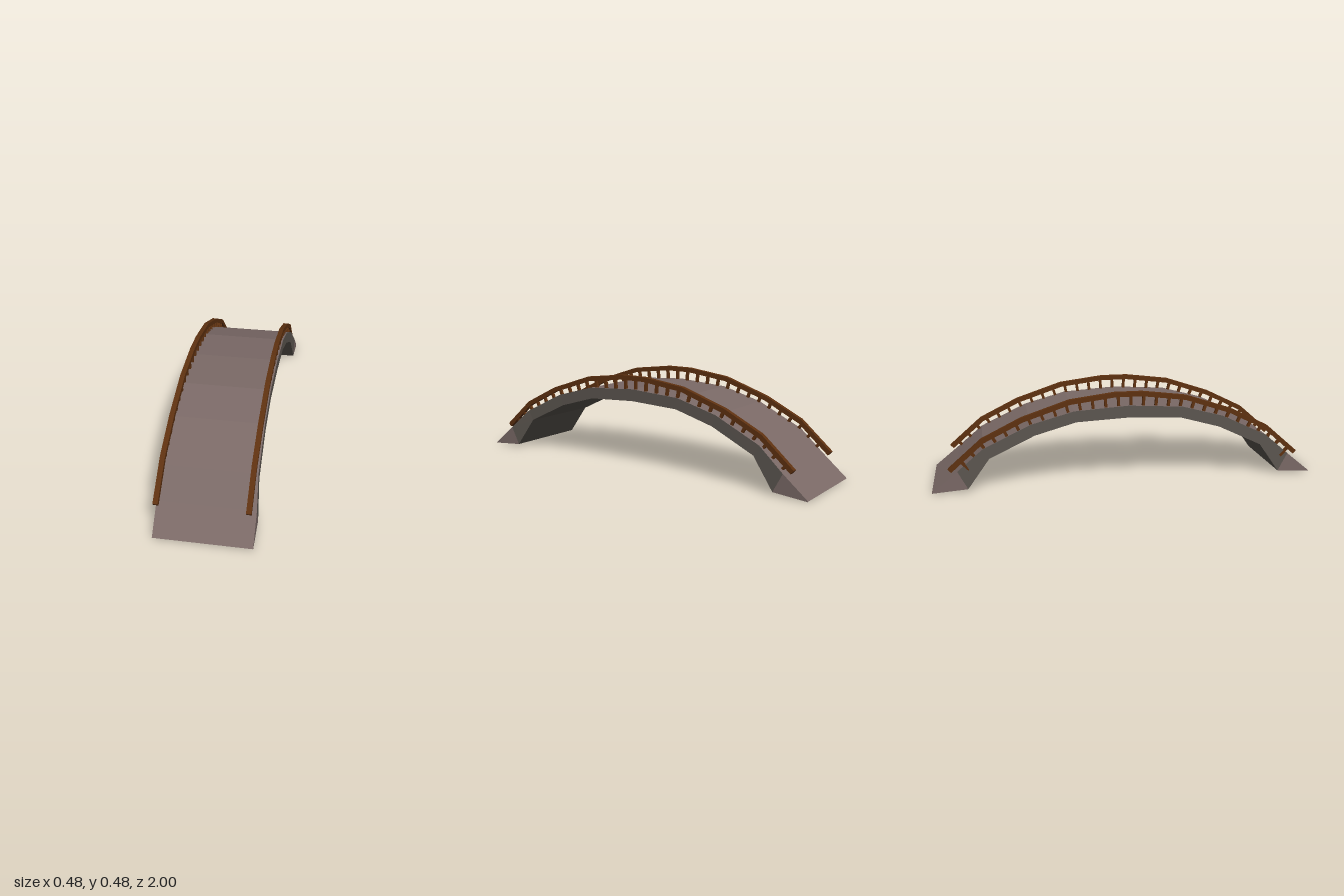
import * as THREE from 'three';

const stoneTop = new THREE.MeshStandardMaterial({ color: 0x7a6966, flatShading: true });
const stoneSide = new THREE.MeshStandardMaterial({ color: 0x5c5650, flatShading: true });
const wood = new THREE.MeshStandardMaterial({ color: 0x5e3110, flatShading: true });

// Joins four-cornered cross-sections (front to back; corners run top left, top right,
// bottom right, bottom left). keep(section, side) selects the faces to make.
function loft(sections, keep = () => true, capped = false) {
  const pos = [];
  const quad = (a, b, c, d) => pos.push(...a, ...b, ...c, ...a, ...c, ...d);
  for (let s = 0; s < sections.length - 1; s++) {
    const a = sections[s], b = sections[s + 1];
    for (let i = 0; i < 4; i++) {
      const j = (i + 1) % 4;
      if (keep(s, i)) quad(a[i], a[j], b[j], b[i]);
    }
  }
  if (capped) {
    quad(...[...sections[0]].reverse());
    quad(...sections[sections.length - 1]);
  }
  const geo = new THREE.BufferGeometry();
  geo.setAttribute('position', new THREE.Float32BufferAttribute(pos, 3));
  geo.computeVertexNormals();
  return geo;
}

function addMesh(parent, name, geo, mat) {
  const mesh = new THREE.Mesh(geo, mat);
  mesh.name = name;
  parent.add(mesh);
  return mesh;
}

// Stone arch: front half stations, mirrored to the back
function buildArch() {
  const arch = new THREE.Group();
  arch.name = 'arch';
  // top z, top y, bottom z, bottom y, right x, left x
  const half = [
    [1.0, 0.003, 1.0, 0.0, -0.22, 0.24],
    [0.87, 0.11, 0.82, 0.015, -0.226, 0.237],
    [0.74, 0.222, 0.71, 0.17, -0.232, 0.225],
    [0.5, 0.337, 0.48, 0.28, -0.235, 0.221],
    [0.28, 0.397, 0.27, 0.34, -0.238, 0.22],
  ];
  const back = half.map(([tz, ty, bz, by, l, r]) => [-tz, ty, -bz, by, l, r]).reverse();
  const stations = [...half, [0, 0.415, 0, 0.353, -0.24, 0.22], ...back];
  const sections = stations.map(([tz, ty, bz, by, l, r]) =>
    [[l, ty, tz], [r, ty, tz], [r, by, bz], [l, by, bz]]);
  const last = sections.length - 2;
  // walkway and the wedge-shaped feet share the lighter stone
  const light = (s, i) => i === 0 || s === 0 || s === last;
  addMesh(arch, 'walkway', loft(sections, light), stoneTop);
  addMesh(arch, 'archSides', loft(sections, (s, i) => !light(s, i)), stoneSide);
  return arch;
}

// Curved handrail with balusters square to the curve
function buildRailing(name, x, shift) {
  const railing = new THREE.Group();
  railing.name = name;
  const half = [[0.907, 0.117], [0.74, 0.263], [0.54, 0.362], [0.3, 0.442], [0.07, 0.471]];
  const path = [...half, ...half.map(([z, y]) => [-z, y]).reverse()];
  const h = 0.012;
  const sections = path.map(([z, y], k) => {
    const p = path[Math.max(k - 1, 0)], q = path[Math.min(k + 1, path.length - 1)];
    const dz = q[0] - p[0], dy = q[1] - p[1], len = Math.hypot(dz, dy);
    const nz = dy / len * h, ny = -dz / len * h;
    return [[x - h, y + ny, z + nz], [x + h, y + ny, z + nz],
      [x + h, y - ny, z - nz], [x - h, y - ny, z - nz]];
  });
  addMesh(railing, 'handrail', loft(sections, undefined, true), wood);

  const curve = new THREE.CatmullRomCurve3(path.map(([z, y]) => new THREE.Vector3(x, y, z)));
  const count = 29;
  const post = new THREE.BoxGeometry(0.014, 0.066, 0.014).translate(0, -0.033, 0);
  for (let i = 0; i < count; i++) {
    const u = 0.012 + 0.976 * (i + shift) / count;
    const t = curve.getTangentAt(u);
    const baluster = addMesh(railing, 'baluster', post, wood);
    baluster.position.copy(curve.getPointAt(u));
    baluster.rotation.x = Math.atan2(t.y, -t.z);
  }
  return railing;
}

export function createModel() {
  const bridge = new THREE.Group();
  bridge.name = 'footbridge';
  bridge.add(
    buildArch(),
    buildRailing('rightRailing', -0.221, 0.3),
    buildRailing('leftRailing', 0.206, 0.7),
  );
  return bridge;
}
